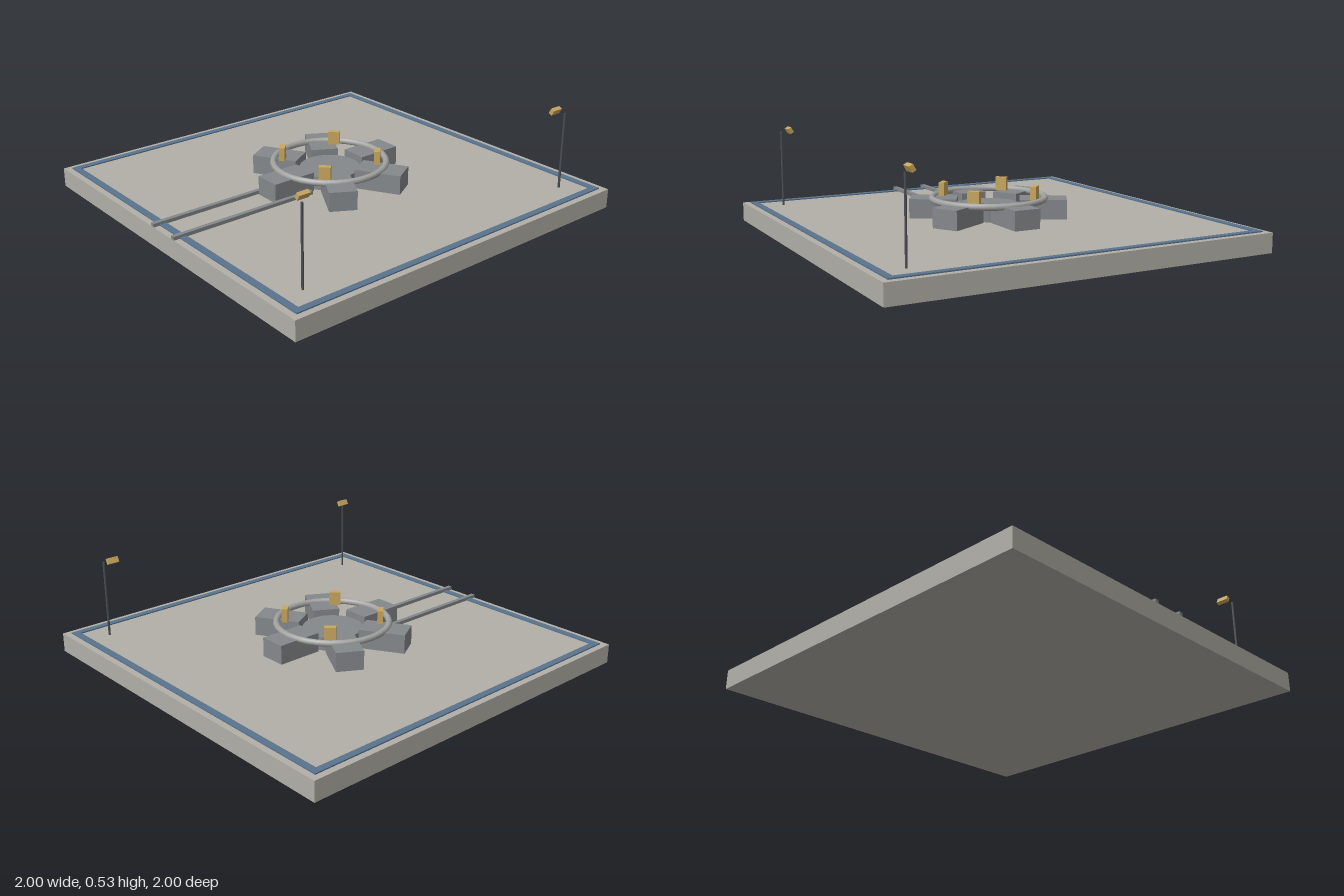
import * as THREE from 'three';

const mat = (name, color) => {
  const m = new THREE.MeshStandardMaterial({ color });
  m.name = name;
  return m;
};

export function createModel() {
  const concrete = mat('concrete', 0xb1afa8);
  const blue = mat('blueMarking', 0x5a738e);
  const grey = mat('greySteel', 0x85888b);
  const light = mat('paleSteel', 0xa3a4a2);
  const dark = mat('darkSteel', 0x4c4f54);
  const yellow = mat('yellowPaint', 0xc8a75e);

  const model = new THREE.Group();
  model.name = 'launchPad';
  const add = (name, geo, material, x, y, z, parent = model) => {
    const m = new THREE.Mesh(geo, material);
    m.name = name;
    m.position.set(x, y, z);
    parent.add(m);
    return m;
  };
  const box = (w, h, d) => new THREE.BoxGeometry(w, h, d);

  // Slab with a painted square border
  add('slab', box(2, 0.1, 2), concrete, 0, 0.05, 0);
  const square = (Path, r) => new Path().moveTo(-r, -r).lineTo(r, -r).lineTo(r, r).lineTo(-r, r).closePath();
  const frame = square(THREE.Shape, 0.967);
  frame.holes.push(square(THREE.Path, 0.932));
  const border = new THREE.ExtrudeGeometry(frame, { depth: 0.006, bevelEnabled: false });
  border.rotateX(-Math.PI / 2);
  add('borderStripe', border, blue, 0, 0.1, 0);

  // Central plinth and the ring around it
  add('plinth', new THREE.CylinderGeometry(0.155, 0.155, 0.07, 32), grey, 0, 0.135, 0);
  const ring = new THREE.TorusGeometry(0.29, 0.017, 8, 32);
  ring.rotateX(Math.PI / 2);
  add('supportRing', ring, light, 0, 0.2, 0);

  // Six radial support blocks
  for (let i = 0; i < 6; i++) {
    const a = (i * Math.PI) / 3;
    const b = add('supportBlock', box(0.24, 0.1, 0.14), grey, 0.28 * Math.cos(a), 0.15, 0.28 * Math.sin(a));
    b.rotation.y = -a;
  }

  // Four clamps standing on the blocks
  for (let i = 0; i < 4; i++) {
    const a = Math.PI / 4 + (i * Math.PI) / 2;
    const c = add('clamp', box(0.03, 0.07, 0.06), yellow, 0.244 * Math.cos(a), 0.235, 0.244 * Math.sin(a));
    c.rotation.y = -a;
  }

  for (const s of [-1, 1]) {
    // Rail running in from the slab's right edge
    add('rail', box(0.81, 0.018, 0.023), grey, -0.595, 0.109, s * 0.088);

    // Floodlight mast with a tilted lamp
    const mast = new THREE.Group();
    mast.name = 'floodlight';
    model.add(mast);
    add('pole', new THREE.CylinderGeometry(0.006, 0.006, 0.4, 8), dark, s * 0.825, 0.3, 0.825, mast);
    const lamp = add('lamp', box(0.06, 0.03, 0.021), yellow, s * 0.793, 0.51, 0.79, mast);
    lamp.rotation.x = 0.5;
  }

  return model;
}
